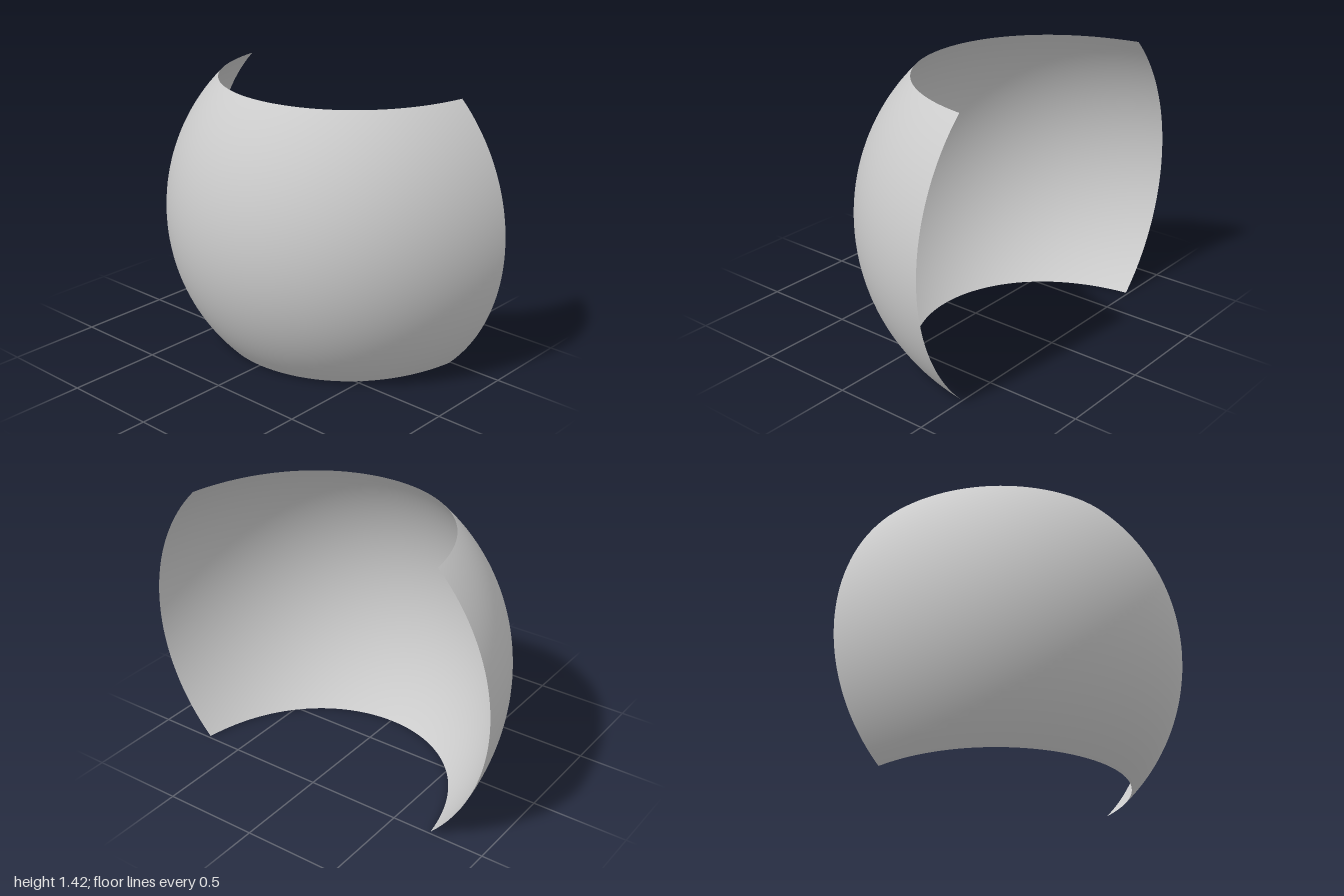
import * as THREE from 'three';
import { ParametricGeometry } from 'three/addons/geometries/ParametricGeometry.js';

const HALF_HEIGHT = 0.71;
const BACK_Z = -0.487;

export function createModel() {
  const group = new THREE.Group();
  group.name = 'curvedShell';

  // Half-round plan curve, from right to left, at full radius
  const plan = new THREE.CubicBezierCurve(
    new THREE.Vector2(-1, 0),
    new THREE.Vector2(-0.81, 1.3),
    new THREE.Vector2(0.81, 1.3),
    new THREE.Vector2(1, 0)
  );
  const p = new THREE.Vector2();

  // Barrel profile: the plan curve shrinks along a circular arc towards top and bottom
  const surface = (u, v, target) => {
    const y = (2 * v - 1) * HALF_HEIGHT;
    const radius = Math.sqrt(1 - y * y);
    plan.getPoint(u, p);
    target.set(p.x * radius, y + HALF_HEIGHT, BACK_Z + p.y * radius);
  };

  // Open, thin sheet
  const shell = new THREE.Mesh(
    new ParametricGeometry(surface, 64, 40),
    new THREE.MeshStandardMaterial({ color: 0xcccccc, side: THREE.DoubleSide })
  );
  shell.name = 'shell';
  group.add(shell);
  return group;
}
